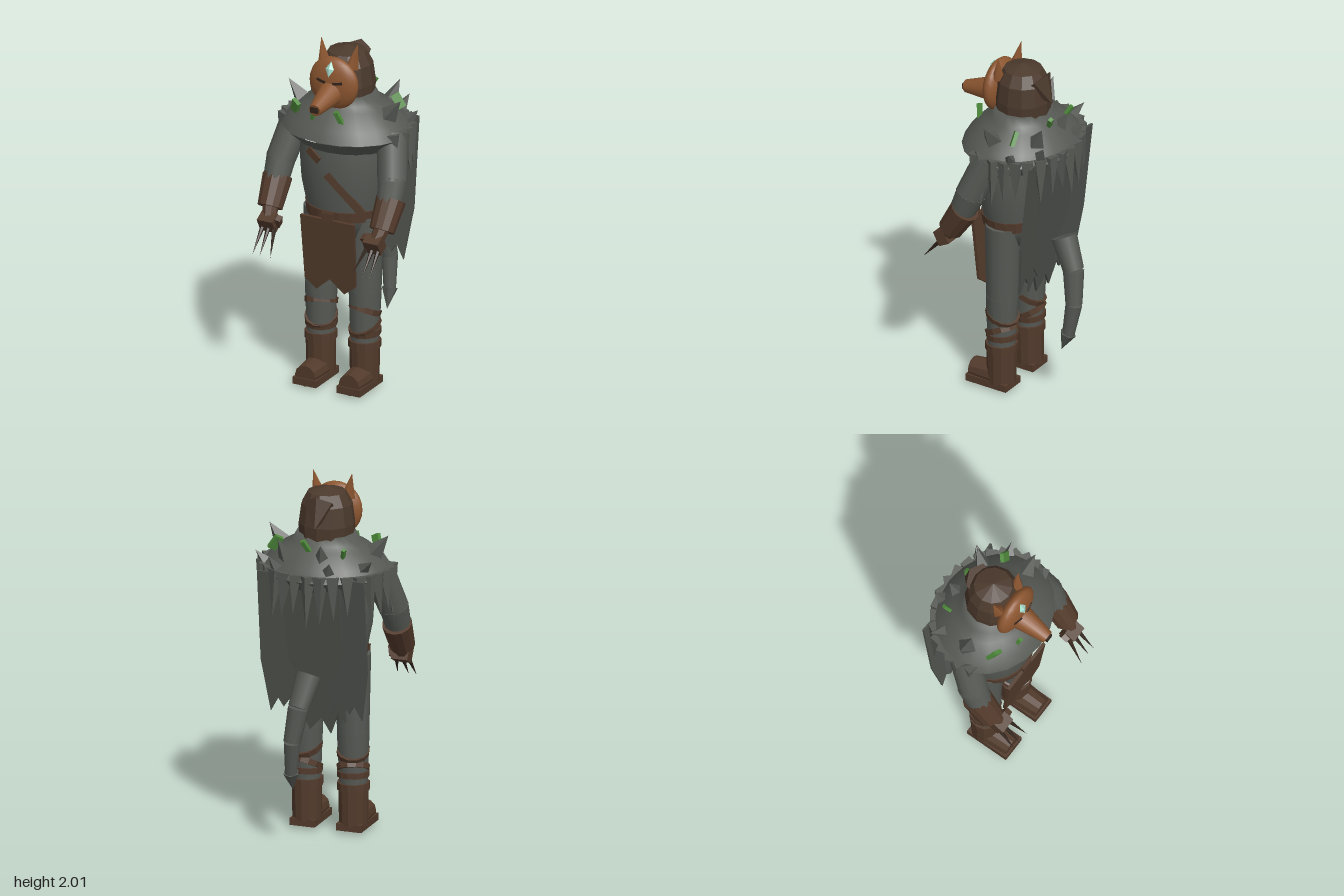
import * as THREE from 'three';

const mat = (name, color, extra = {}) => {
  const m = new THREE.MeshStandardMaterial({ color, flatShading: true, ...extra });
  m.name = name;
  return m;
};
const V = (x, y, z) => new THREE.Vector3(x, y, z);

export function createModel() {
  const gray = mat('ash gray hide', 0x565954);
  const cloth = mat('ash gray cloth', 0x4d504b, { side: THREE.DoubleSide });
  const smoothGray = mat('smooth ash gray', 0x565954, { flatShading: false });
  const brown = mat('dark leather', 0x523a2b);
  const hoodBrown = mat('hood leather', 0x4b392c);
  const rust = mat('rust mask', 0x8c5630, { flatShading: false });
  const dark = mat('dark horn', 0x30231b);
  const green = mat('green crystal', 0x4f8a3c);
  const cyan = mat('pale gem', 0xa2d8c8);

  const root = new THREE.Group();
  const add = (name, geo, material, pos, rot) => {
    const m = new THREE.Mesh(geo, material);
    m.name = name;
    if (pos) m.position.set(...pos);
    if (rot) m.rotation.set(...rot);
    root.add(m);
    return m;
  };
  const box = (name, size, pos, material, rot) => add(name, new THREE.BoxGeometry(...size), material, pos, rot);
  // Cylinder or cone running from a to b
  const limb = (name, a, b, r1, r2, material, sides = 12) => {
    const m = add(name, new THREE.CylinderGeometry(r2, r1, a.distanceTo(b), sides), material);
    m.position.copy(a).lerp(b, 0.5);
    m.quaternion.setFromUnitVectors(V(0, 1, 0), b.clone().sub(a).normalize());
    return m;
  };
  const lathe = (name, pts, zScale, z, material, sides = 20) => {
    const m = add(name, new THREE.LatheGeometry(pts.map(p => new THREE.Vector2(...p)), sides), material, [0, 0, z]);
    m.scale.z = zScale;
    return m;
  };
  // Thin plate from an outline
  const plate = (name, pts, thick, material, pos, rot) => add(name,
    new THREE.ExtrudeGeometry(new THREE.Shape(pts.map(p => new THREE.Vector2(...p))), { depth: thick, bevelEnabled: false }),
    material, pos, rot);

  // Torso, mantle and hood
  lathe('torso', [[0, 0.89], [0.18, 0.89], [0.205, 1], [0.24, 1.17], [0.25, 1.32], [0.24, 1.42]], 0.81, 0.04, smoothGray);
  lathe('mantle', [[0.37, 1.48], [0.33, 1.54], [0.24, 1.62], [0.19, 1.645], [0.165, 1.69], [0, 1.7]], 0.85, 0, smoothGray);
  lathe('mantleUnderside', [[0, 1.38], [0.25, 1.38], [0.37, 1.48]], 0.87, 0, gray);
  lathe('hood', [[0.15, 1.64], [0.155, 1.74], [0.14, 1.85], [0.105, 1.915], [0, 1.945]], 1, 0, hoodBrown, 12);
  limb('hoodPoint', V(0, 1.86, -0.09), V(0, 1.75, -0.185), 0.09, 0.005, hoodBrown, 6);

  // Mask
  add('mask', new THREE.SphereGeometry(1, 20, 14), rust, [0, 1.775, 0.148]).scale.set(0.148, 0.15, 0.06);
  limb('snout', V(0, 1.728, 0.18), V(0, 1.69, 0.365), 0.072, 0.036, rust, 14);
  box('nose', [0.045, 0.032, 0.02], [0, 1.695, 0.368], dark);
  add('foreheadGem', new THREE.OctahedronGeometry(1), cyan, [0, 1.87, 0.197], [-0.4, 0, 0]).scale.set(0.026, 0.044, 0.014);
  for (const s of [-1, 1]) {
    limb('ear', V(s * 0.085, 1.86, 0.1), V(s * 0.113, 2, 0.085), 0.04, 0, rust, 4);
    box('brow', [0.055, 0.013, 0.012], [s * 0.05, 1.797, 0.202], dark, [0, s * 0.2, s * 0.15]);
  }

  // Belt, apron and chest strap
  lathe('belt', [[0.2, 0.985], [0.212, 0.985], [0.218, 1.045], [0.2, 1.045]], 0.84, 0.04, brown);
  box('buckle', [0.07, 0.05, 0.02], [0, 1.015, 0.222], dark).material = brown;
  plate('apron', [[-0.165, 1], [-0.155, 0.62], [-0.085, 0.565], [0, 0.64], [0.085, 0.565], [0.155, 0.62], [0.165, 1]]
    .map(([x, y]) => [x, y - 1]), 0.018, brown, [0, 1, 0.212], [0.09, 0, 0]);
  box('chestStrap', [0.3, 0.042, 0.02], [0.1, 1.16, 0.208], brown, [0, 0.35, -0.84]);
  box('chestStrapTop', [0.09, 0.042, 0.02], [-0.08, 1.365, 0.228], brown, [0, -0.2, -0.6]);

  for (const s of [-1, 1]) {
    // Arms with cuffs, hands and claws
    add('shoulder', new THREE.SphereGeometry(0.085, 12, 8), smoothGray, [s * 0.295, 1.44, 0.03]);
    limb('upperArm', V(s * 0.29, 1.49, 0.02), V(s * 0.345, 1.25, 0.12), 0.088, 0.082, smoothGray);
    limb('elbow', V(s * 0.343, 1.27, 0.11), V(s * 0.35, 1.13, 0.17), 0.083, 0.07, smoothGray);
    limb('cuff', V(s * 0.35, 1.16, 0.145), V(s * 0.345, 1.01, 0.24), 0.083, 0.07, brown);
    limb('wrist', V(s * 0.345, 1.03, 0.23), V(s * 0.33, 0.96, 0.275), 0.045, 0.04, brown, 8);
    box('hand', [0.095, 0.085, 0.07], [s * 0.325, 0.945, 0.288], brown, [0.5, 0, 0]);
    box('thumb', [0.03, 0.06, 0.04], [s * 0.27, 0.955, 0.28], brown, [0.5, 0, s * 0.3]);
    for (const [x, tx] of [[0.285, 0.25], [0.32, 0.315], [0.355, 0.36]])
      limb('claw', V(s * x, 0.92, 0.3), V(s * tx, 0.79, 0.41), 0.014, 0, dark, 6);

    // Legs, wraps and boots
    const x = s * 0.135;
    limb('thigh', V(x, 1, 0.04), V(x, 0.53, 0.045), 0.1, 0.088, smoothGray);
    limb('shin', V(x, 0.56, 0.045), V(x, 0.25, 0.05), 0.09, 0.077, smoothGray);
    for (const [y, tilt] of [[0.315, 0.06], [0.35, 0.45], [0.44, -0.4]]) {
      const g = new THREE.CylinderGeometry(0.09, 0.088, 0.032, 12);
      add('legWrap', g, brown, [x, y, 0.045], [tilt, 0, tilt * s * 0.4]).scale.z = 1 / Math.cos(tilt);
    }
    limb('bootShaft', V(x, 0.03, 0.05), V(x, 0.25, 0.05), 0.08, 0.083, brown);
    limb('bootCuff', V(x, 0.225, 0.05), V(x, 0.268, 0.05), 0.09, 0.09, brown);
    box('sole', [0.145, 0.04, 0.26], [x, 0.022, 0.107], brown);
    limb('toeCap', V(x, 0.06, 0.06), V(x, 0.055, 0.228), 0.075, 0.062, brown);

    // Side cape panels with ragged hems
    plate('sideCape', [[0.08, 0], [0.08, -0.8], [0.14, -0.72], [0.19, -0.79], [0.22, -0.74], [0.265, -0.82], [0.31, -0.52], [0.31, 0]]
      .map(([px, py]) => [s * px, py]), 0.012, cloth, [0, 1.5, -0.23], [-0.11, s * 0.06, 0]);
  }

  // Centre cape
  plate('centreCape', [[-0.17, 0], [-0.16, -0.86], [-0.12, -0.8], [-0.07, -0.93], [-0.02, -0.84], [0.05, -0.92], [0.1, -0.8],
    [0.14, -0.88], [0.17, 0]], 0.014, cloth, [0, 1.5, -0.26], [-0.15, 0, 0]);

  // Hanging feathers around the sides and back of the rim
  const n = 19;
  for (let i = 0; i < n; i++) {
    const a = -0.3 + (Math.PI + 0.6) * i / (n - 1);
    const c = Math.cos(a), d = -Math.sin(a);
    const len = 0.2 + 0.05 * ((i * 7) % 4) / 2;
    limb('feather', V(c * 0.345, 1.515, d * 0.29), V(c * 0.375, 1.5 - len, d * 0.315), 0.046, 0, gray, 4);
  }

  // Spikes on the mantle: base, tip, radius
  for (const [a, b, r] of [
    [[-0.25, 1.57, 0.02], [-0.345, 1.69, 0.03], 0.065], [[0.25, 1.57, 0.02], [0.345, 1.69, 0.03], 0.065],
    [[0.16, 1.58, -0.19], [0.19, 1.69, -0.245], 0.05], [[-0.05, 1.59, -0.2], [-0.06, 1.68, -0.25], 0.045],
    [[-0.11, 1.54, -0.26], [-0.13, 1.6, -0.3], 0.035], [[0.2, 1.53, -0.24], [0.23, 1.6, -0.28], 0.035],
    [[-0.26, 1.54, -0.14], [-0.33, 1.6, -0.18], 0.04], [[0.31, 1.52, -0.12], [0.36, 1.58, -0.14], 0.035]])
    limb('mantleSpike', V(...a), V(...b), r, 0, gray, 4);

  // Green crystals tucked into the mantle
  for (const [x, y, z, w, tz] of [[-0.225, 1.6, 0.17, 0.05, -0.4], [0.255, 1.625, -0.11, 0.05, 0.7], [-0.085, 1.585, 0.23, 0.02, -0.2],
    [0.075, 1.61, 0.23, 0.025, 0.35], [-0.165, 1.62, -0.18, 0.018, 0.3], [0.042, 1.65, -0.2, 0.025, -0.4]])
    box('greenCrystal', [w, 0.085, 0.022], [x, y, z], green, [z > 0 ? 0.25 : -0.4, x * 2, tz]);

  // Segmented tail
  const tail = [[0, 0.95, -0.265, 0.072], [0.03, 0.78, -0.345, 0.058], [0.06, 0.59, -0.367, 0.046], [0.075, 0.4, -0.34, 0.034]];
  for (let i = 0; i < 3; i++) {
    const [p, q] = [tail[i], tail[i + 1]];
    limb('tailSegment', V(p[0], p[1], p[2]), V(q[0], q[1], q[2]), p[3], q[3], smoothGray, 10);
  }
  limb('tailTip', V(0.075, 0.41, -0.34), V(0.08, 0.3, -0.3), 0.045, 0, gray, 6);

  return root;
}
